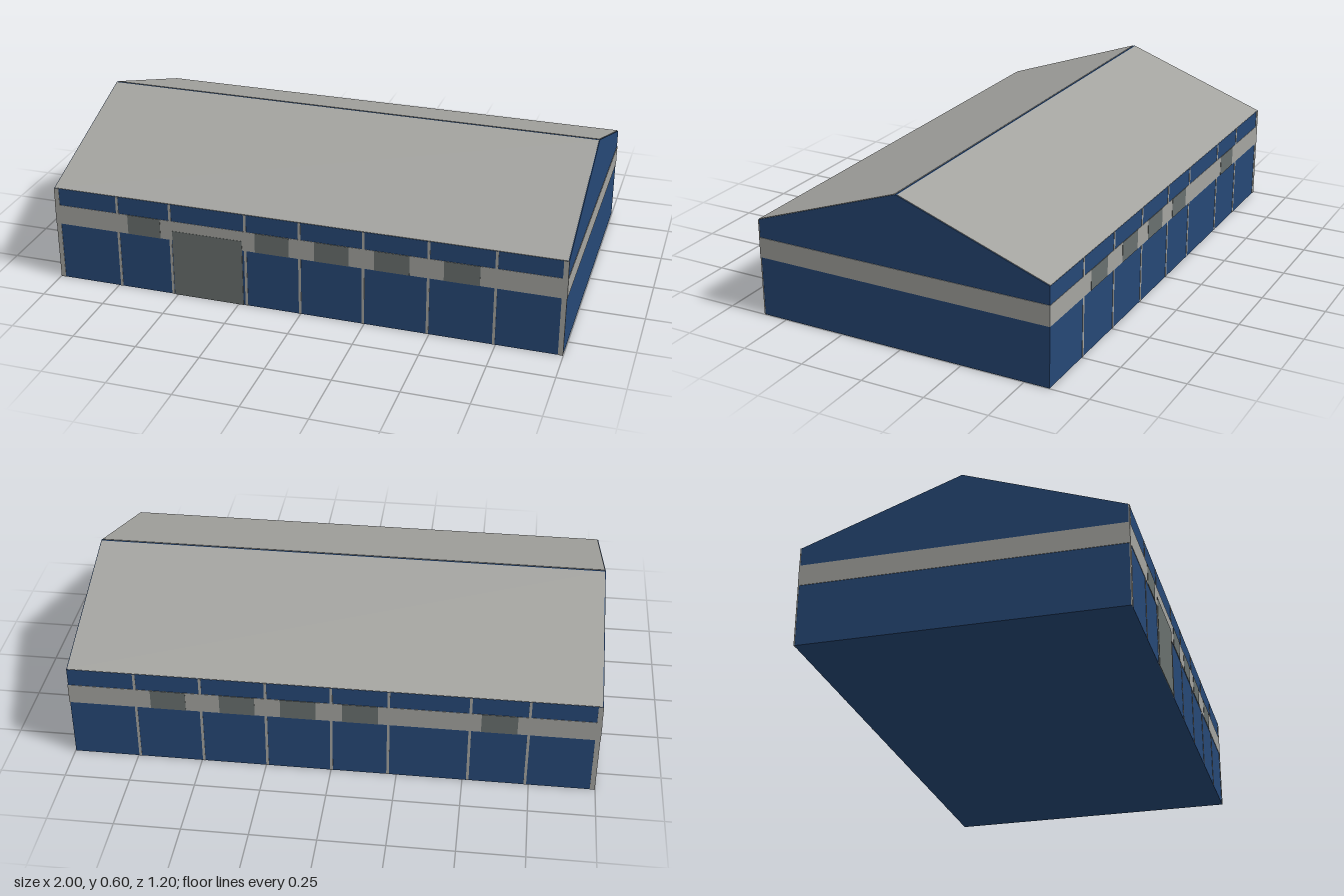
import * as THREE from 'three';

const mat = (name, color) => {
  const m = new THREE.MeshStandardMaterial({ color });
  m.name = name;
  return m;
};

export function createModel() {
  const blue = mat('blue cladding', 0x264876);
  const grey = mat('light grey metal', 0xa4a4a0);
  const dark = mat('dark grey glazing', 0x69706e);

  const EAVE = 0.385, RIDGE = 0.598, HALF = 0.598, END = 0.998;
  const BAND = [0.235, 0.315];
  const model = new THREE.Group();
  model.name = 'hall';

  // Gabled body, extruded along x
  const profile = new THREE.Shape([
    new THREE.Vector2(-HALF, 0), new THREE.Vector2(HALF, 0),
    new THREE.Vector2(HALF, EAVE), new THREE.Vector2(0, RIDGE), new THREE.Vector2(-HALF, EAVE),
  ]);
  const bodyGeo = new THREE.ExtrudeGeometry(profile, { depth: 2 * END, bevelEnabled: false });
  bodyGeo.translate(0, 0, -END).rotateY(Math.PI / 2);
  const body = new THREE.Mesh(bodyGeo, blue);
  body.name = 'walls';
  model.add(body);

  // Thin roof sheets, leaving the ridge and verge edges blue
  const angle = Math.atan2(RIDGE - EAVE, HALF);
  const slope = Math.hypot(RIDGE - EAVE, HALF);
  for (const side of [1, -1]) {
    const sheet = new THREE.Mesh(new THREE.BoxGeometry(1.99, 0.005, slope - 0.006), grey);
    sheet.name = side > 0 ? 'frontRoof' : 'backRoof';
    sheet.rotation.x = side * angle;
    sheet.position.set(0, (RIDGE + EAVE) / 2 - 0.001, side * (HALF / 2 + 0.002));
    model.add(sheet);
  }

  // Thin plate on a long wall, between x0..x1 and y0..y1
  const plate = (group, name, material, side, x0, x1, y0, y1, proud) => {
    const mesh = new THREE.Mesh(new THREE.BoxGeometry(x1 - x0, y1 - y0, 0.004), material);
    mesh.name = name;
    mesh.position.set((x0 + x1) / 2, (y0 + y1) / 2, side * (HALF - 0.002 + proud));
    group.add(mesh);
  };

  const seams = [-0.737, -0.52, -0.217, -0.002, 0.245, 0.492, 0.742];
  const windows = [-0.628, -0.111, 0.123, 0.354, 0.617];

  for (const side of [1, -1]) {
    const wall = new THREE.Group();
    wall.name = side > 0 ? 'frontWallDetails' : 'backWallDetails';
    plate(wall, 'band', grey, side, -1, 1, ...BAND, 0.0015);
    for (const x of seams) plate(wall, 'seam', grey, side, x - 0.005, x + 0.005, 0, EAVE, 0.0015);
    for (const x of windows) plate(wall, 'window', dark, side, x - 0.067, x + 0.067, ...BAND, 0.0025);
    // Corner trims
    plate(wall, 'cornerTrim', grey, side, -0.999, -0.98, 0, EAVE, 0.0015);
    if (side > 0) plate(wall, 'cornerTrim', grey, side, 0.98, 0.999, 0, EAVE, 0.0015);
    model.add(wall);

    // Band across the gable end
    const band = new THREE.Mesh(new THREE.BoxGeometry(0.004, BAND[1] - BAND[0], 1.198), grey);
    band.name = side > 0 ? 'leftGableBand' : 'rightGableBand';
    band.position.set(side * 0.998, (BAND[0] + BAND[1]) / 2, 0);
    model.add(band);
  }

  // Large front gate
  plate(model, 'gate', dark, 1, -0.512, -0.23, 0, 0.274, 0.0025);

  return model;
}
